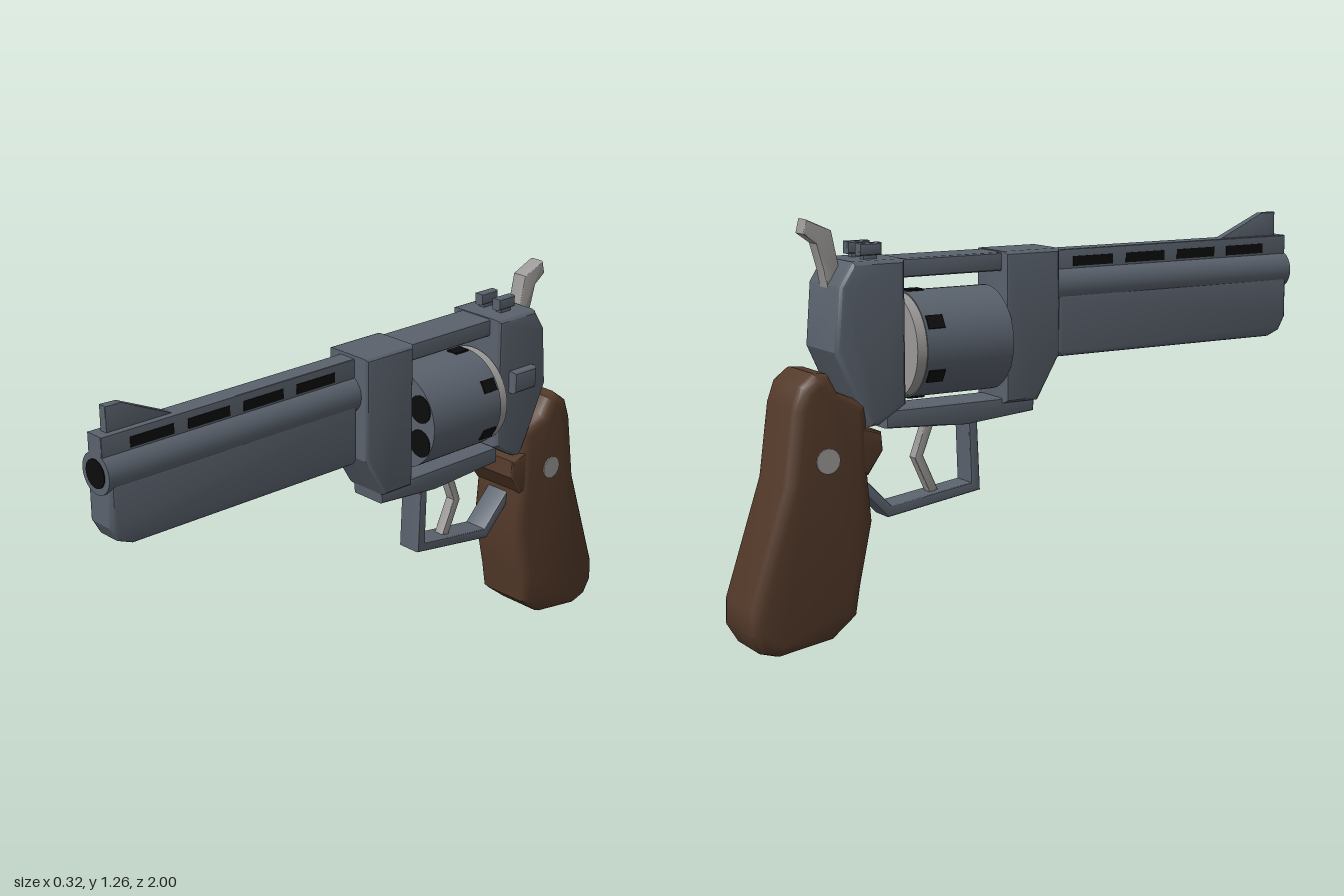
import * as THREE from 'three';
import { toCreasedNormals } from 'three/addons/utils/BufferGeometryUtils.js';

const mat = (name, color) => {
  const m = new THREE.MeshStandardMaterial({ color });
  m.name = name;
  return m;
};

export function createModel() {
  const steel = mat('blued steel', 0x5a626d);
  const wood = mat('dark walnut', 0x543a2a);
  const silver = mat('bare metal', 0x9c9a98);
  const black = mat('black recess', 0x0c0c0c);
  const model = new THREE.Group();
  model.name = 'revolver';

  const add = (name, geometry, material, x = 0, y = 0, z = 0) => {
    const mesh = new THREE.Mesh(geometry, material);
    mesh.name = name;
    mesh.position.set(x, y, z);
    model.add(mesh);
    return mesh;
  };

  // Side profile of [z, y] points, extruded to +-half across x, edges bevelled inward
  const plate = (name, points, half, bevel, material, x = 0, crease = 0.5) => {
    const shape = new THREE.Shape(points.map(([z, y]) => new THREE.Vector2(z, y)));
    const depth = 2 * (half - bevel);
    const g = new THREE.ExtrudeGeometry(shape, {
      depth, bevelEnabled: bevel > 0, bevelSize: bevel, bevelThickness: bevel,
      bevelOffset: -bevel, bevelSegments: 3,
    });
    g.translate(0, 0, -depth / 2);
    g.rotateY(-Math.PI / 2);
    return add(name, toCreasedNormals(g, crease), material, x);
  };
  const rect = (z0, z1, y0, y1) => [[z0, y0], [z1, y0], [z1, y1], [z0, y1]];

  // Cylinder lying along z between z0 and z1
  const rod = (name, r, z0, z1, x, y, material, sides = 32) => {
    const g = new THREE.CylinderGeometry(r, r, z1 - z0, sides);
    g.rotateX(Math.PI / 2);
    return add(name, g, material, x, y, (z0 + z1) / 2);
  };

  // Barrel, underlug, rib and front sight
  rod('barrel', 0.063, 0.03, 0.997, 0, 1.015, steel);
  rod('bore', 0.043, 0.99, 1.0, 0, 1.015, black);
  plate('underlug', [[0.075, 1.0], [0.075, 0.81], [0.09, 0.797], [0.92, 0.797], [0.965, 0.815],
    [0.99, 0.86], [0.99, 1.0]], 0.057, 0.02, steel);
  plate('topRib', rect(0.05, 0.997, 1.04, 1.13), 0.032, 0.004, steel);
  for (let i = 0; i < 4; i++) {
    for (const side of [-1, 1]) {
      add('ribSlot', new THREE.BoxGeometry(0.004, 0.031, 0.15), black, side * 0.032, 1.091, 0.825 - i * 0.2);
    }
  }
  plate('frontSight', [[0.965, 1.12], [0.965, 1.207], [0.91, 1.205], [0.74, 1.13], [0.74, 1.12]],
    0.014, 0.003, steel);

  // Frame around the cylinder window
  plate('frameFront', [[0.07, 1.14], [0.07, 0.81], [-0.01, 0.675], [-0.13, 0.675], [-0.13, 1.14]],
    0.087, 0.018, steel);
  plate('topStrap', rect(-0.52, -0.1, 1.08, 1.137), 0.065, 0.008, steel);
  plate('bottomStrap', [[-0.01, 0.69], [-0.015, 0.64], [-0.25, 0.62], [-0.53, 0.635], [-0.53, 0.69]],
    0.065, 0.008, steel);
  plate('frameRear', [[-0.48, 1.14], [-0.65, 1.14], [-0.695, 1.07], [-0.71, 0.88], [-0.65, 0.75],
    [-0.6, 0.652], [-0.57, 0.655], [-0.48, 0.71]], 0.107, 0.02, steel);
  plate('cylinderLatch', rect(-0.632, -0.53, 0.89, 0.962), 0.03, 0.012, steel, 0.105);

  // Rotating cylinder with six chambers and six stop notches
  const cy = 0.874;
  rod('cylinderAxle', 0.035, -0.5, -0.11, 0, cy, black, 20);
  rod('cylinder', 0.16, -0.44, -0.145, 0, cy, steel, 48);
  rod('ejectorPlate', 0.156, -0.472, -0.44, 0, cy, silver, 48);
  for (let i = 0; i < 6; i++) {
    const a = Math.PI / 6 + i * Math.PI / 3;
    const c = Math.cos(a), s = Math.sin(a);
    rod('chamber', 0.045, -0.16, -0.142, 0.113 * c, cy + 0.113 * s, black, 24);
    const notch = add('stopNotch', new THREE.BoxGeometry(0.009, 0.042, 0.055), black,
      0.1595 * c, cy + 0.1595 * s, -0.403);
    notch.rotation.z = a;
  }

  // Trigger and guard
  plate('triggerGuard', [[-0.205, 0.64], [-0.195, 0.407], [-0.515, 0.36], [-0.63, 0.48],
    [-0.61, 0.505], [-0.503, 0.395], [-0.228, 0.433], [-0.235, 0.64]], 0.043, 0.005, steel);
  plate('trigger', [[-0.345, 0.65], [-0.345, 0.62], [-0.38, 0.53], [-0.33, 0.42], [-0.358, 0.41],
    [-0.41, 0.525], [-0.375, 0.62], [-0.375, 0.65]], 0.018, 0.004, silver);

  // Hammer and rear sight
  plate('hammer', [[-0.63, 1.03], [-0.655, 1.11], [-0.68, 1.227], [-0.76, 1.262], [-0.77, 1.22],
    [-0.728, 1.19], [-0.705, 1.11], [-0.69, 1.03]], 0.027, 0.005, silver);
  for (const side of [-1, 1]) {
    plate('rearSightPost', rect(-0.605, -0.53, 1.15, 1.187), 0.017, 0.007, steel, side * 0.038);
    plate('rearSightFoot', rect(-0.59, -0.545, 1.12, 1.16), 0.012, 0.002, steel, side * 0.038);
  }

  // Grip with tang and medallions
  plate('grip', [[-0.61, 0.725], [-0.7, 0.765], [-0.73, 0.82], [-0.775, 0.825], [-0.822, 0.79],
    [-0.845, 0.725], [-0.875, 0.505], [-0.993, 0.15], [-0.995, 0.075], [-0.96, 0.018], [-0.905, 0.001],
    [-0.73, 0.027], [-0.65, 0.09], [-0.635, 0.18], [-0.594, 0.37], [-0.607, 0.52]],
  0.11, 0.035, wood, 0, 0.7);
  plate('gripTang', [[-0.565, 0.637], [-0.56, 0.58], [-0.61, 0.51], [-0.7, 0.55], [-0.68, 0.67]],
    0.105, 0.012, wood);
  for (const side of [-1, 1]) {
    const g = new THREE.CylinderGeometry(0.038, 0.038, 0.008, 16);
    g.rotateZ(Math.PI / 2);
    add('gripMedallion', g, silver, side * 0.11, 0.57, -0.745);
  }
  return model;
}
